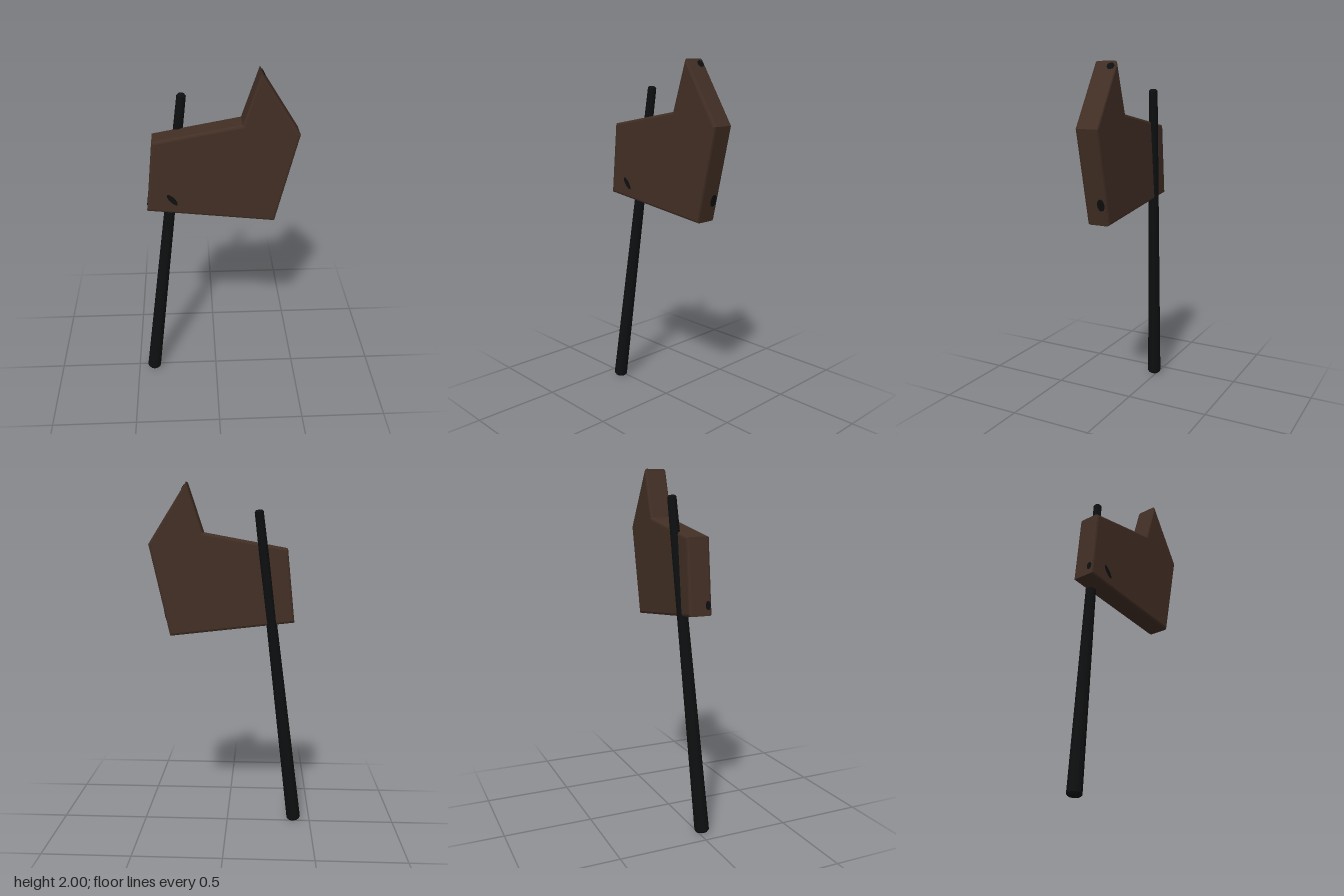
import * as THREE from 'three';

const wood = new THREE.MeshStandardMaterial({ name: 'dark brown', color: 0x422f25 });
const black = new THREE.MeshStandardMaterial({ name: 'near black', color: 0x0e0f10, flatShading: true });
wood.flatShading = true;

// Turned pole with chamfered ends, running from one point to another
function pole(from, to, r0, r1) {
  const axis = to.clone().sub(from);
  const h = axis.length();
  const c = 0.01;
  const profile = [[0, 0], [r0 * 0.8, 0], [r0, c], [r1, h - c], [r1 * 0.65, h], [0, h]]
    .map(([x, y]) => new THREE.Vector2(x, y));
  const mesh = new THREE.Mesh(new THREE.LatheGeometry(profile, 12), black);
  mesh.position.copy(from);
  mesh.quaternion.setFromUnitVectors(new THREE.Vector3(0, 1, 0), axis.normalize());
  mesh.name = 'pole';
  return mesh;
}

// Thin oval peg end set flush in a face; spin turns it about the face normal
function pegEnd(position, normal, width, height, spin = 0) {
  const geo = new THREE.CylinderGeometry(0.5, 0.5, 0.006, 10);
  geo.rotateX(Math.PI / 2).scale(width, height, 1).rotateZ(spin);
  const mesh = new THREE.Mesh(geo, black);
  mesh.position.set(...position);
  mesh.lookAt(mesh.position.clone().add(new THREE.Vector3(...normal)));
  mesh.name = 'pegEnd';
  return mesh;
}

export function createModel() {
  const group = new THREE.Group();
  group.name = 'poleWithBlade';

  // Blade: bevelled slab with a pointed upper corner
  const outline = [[-0.385, 1.225], [0.327, 1.143], [0.443, 1.665], [0.226, 2.005], [0.135, 1.728], [-0.342, 1.64]];
  const bevel = 0.013;
  const geo = new THREE.ExtrudeGeometry(
    new THREE.Shape(outline.map(([x, y]) => new THREE.Vector2(x, y))),
    { depth: 0.133 - 2 * bevel, bevelThickness: bevel, bevelSize: bevel, bevelOffset: -bevel, bevelSegments: 2 });
  geo.translate(0, 0, -0.05 + bevel);
  const blade = new THREE.Mesh(geo, wood);
  blade.name = 'blade';
  group.add(blade);

  group.add(pole(new THREE.Vector3(-0.405, 0.005, 0.023), new THREE.Vector3(-0.178, 1.853, -0.062), 0.041, 0.025));

  // Peg ends on the front, right edge, left edge and tip
  group.add(
    pegEnd([-0.243, 1.295, 0.082], [0, 0, 1], 0.03, 0.085, 0.7),
    pegEnd([0.352, 1.26, -0.015], [0.976, -0.218, 0], 0.045, 0.07),
    pegEnd([-0.378, 1.28, 0.06], [-0.995, 0.1, 0], 0.03, 0.05),
    pegEnd([0.242, 1.978, -0.018], [0.845, 0.534, 0], 0.045, 0.04));
  return group;
}
